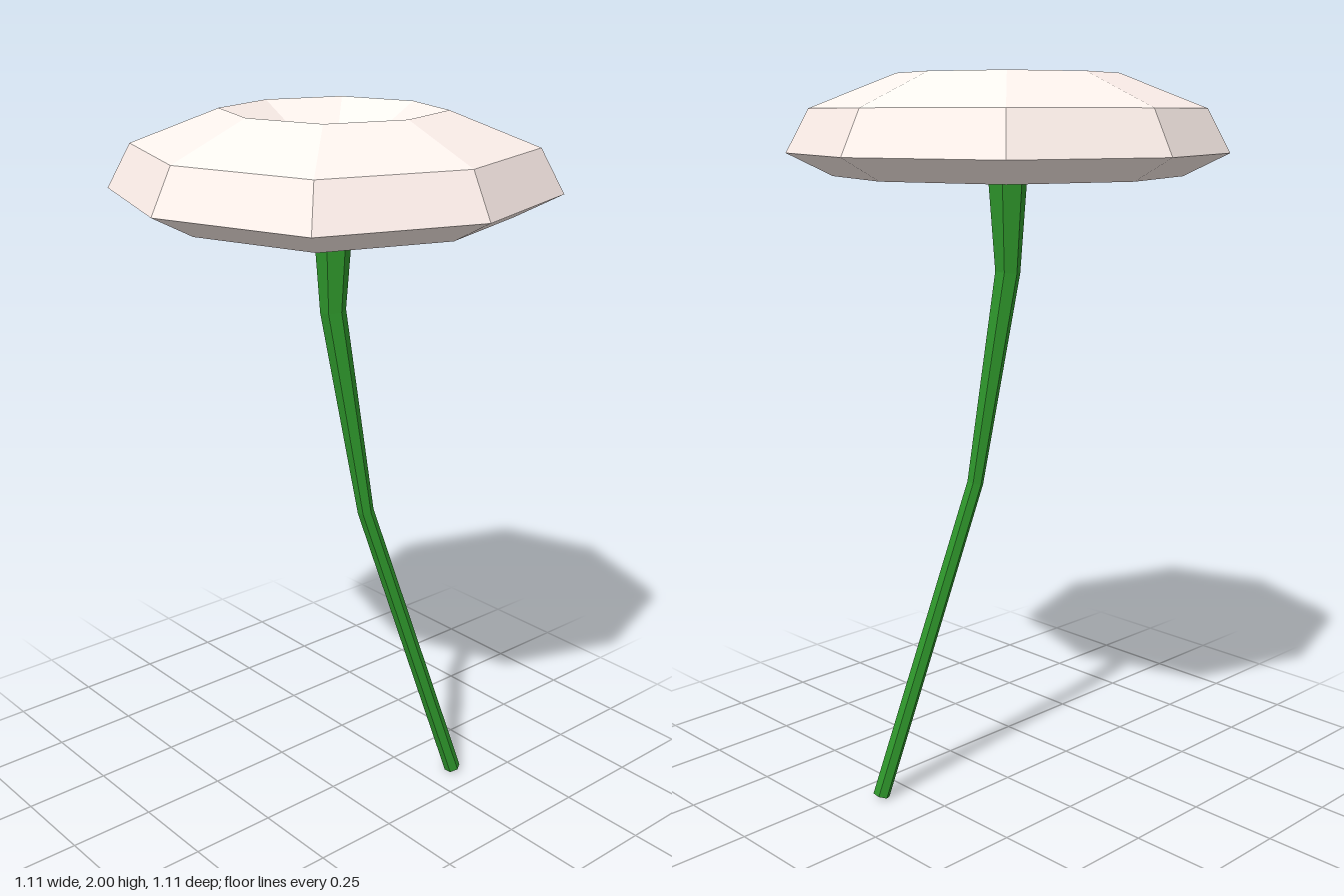
import * as THREE from 'three';

// One ring of corners around a centre, tipped square to an axis; odd corners can be pushed out
function ring([x, y, z], r, sides, oddScale = 1, axis = new THREE.Vector3(0, 1, 0)) {
  const turn = new THREE.Quaternion().setFromUnitVectors(new THREE.Vector3(0, 1, 0), axis);
  return Array.from({ length: sides }, (_, j) => {
    const a = (j / sides) * Math.PI * 2;
    const k = r * (j % 2 ? oddScale : 1);
    return new THREE.Vector3(Math.cos(a) * k, 0, Math.sin(a) * k)
      .applyQuaternion(turn).add(new THREE.Vector3(x, y, z));
  });
}

// Skin neighbouring rings, optionally closing the ends with fans
function loft(rings, capped) {
  const pos = [];
  const sides = rings[0].length;
  const tri = (...pts) => pts.forEach((p) => pos.push(p.x, p.y, p.z));
  for (let i = 0; i < rings.length - 1; i++) {
    for (let j = 0; j < sides; j++) {
      const n = (j + 1) % sides;
      const [a, b, c, d] = [rings[i][j], rings[i][n], rings[i + 1][j], rings[i + 1][n]];
      tri(a, c, b);
      tri(b, c, d);
    }
  }
  if (capped) {
    const first = rings[0], last = rings[rings.length - 1];
    const middle = (r) => r.reduce((s, p) => s.add(p), new THREE.Vector3()).divideScalar(sides);
    for (let j = 0; j < sides; j++) {
      const n = (j + 1) % sides;
      tri(middle(first), first[j], first[n]);
      tri(middle(last), last[n], last[j]);
    }
  }
  const geo = new THREE.BufferGeometry();
  geo.setAttribute('position', new THREE.Float32BufferAttribute(pos, 3));
  geo.computeVertexNormals();
  return geo;
}

function part(name, geometry, color) {
  const mesh = new THREE.Mesh(geometry, new THREE.MeshStandardMaterial({ color, flatShading: true }));
  mesh.name = name;
  return mesh;
}

export function createModel() {
  const flower = new THREE.Group();
  flower.name = 'flower';
  const octagon = ([r, y]) => ring([0, y, 0], r, 8, 1.055);

  // Warm white petals: a hollow shell, profile [radius, height] up the outside, into the cup and back underneath
  const petalProfile = [
    [0.44, 1.735], [0.557, 1.795], [0.497, 1.91], [0.276, 2.0], [0.11, 1.905],
    [0.11, 1.895], [0.23, 1.91], [0.34, 1.84], [0.44, 1.735],
  ];
  flower.add(part('petals', loft(petalProfile.map(octagon), false), 0xfff1ec));

  // Yellow centre
  flower.add(part('centre', loft([[0.12, 1.908], [0.092, 1.937]].map(octagon), true), 0xffd245));

  // Bent six-sided stem, flaring into a cup under the petals: [x, y, z, radius]
  const stemPath = [
    [0.165, 0.008, -0.342, 0.024], [0.05, 0.9, -0.077, 0.023], [0.002, 1.48, 0.002, 0.035],
    [0, 1.735, 0, 0.054], [0, 1.835, 0, 0.08], [0, 1.905, 0, 0.125],
  ];
  const points = stemPath.map(([x, y, z]) => new THREE.Vector3(x, y, z));
  const stemRings = stemPath.map(([x, y, z, r], i) => {
    const next = points[Math.min(i + 1, points.length - 1)];
    const axis = next.clone().sub(points[Math.max(i - 1, 0)]).normalize();
    return ring([x, y, z], r, 6, 1, axis);
  });
  flower.add(part('stem', loft(stemRings, true), 0x2e962b));

  return flower;
}
